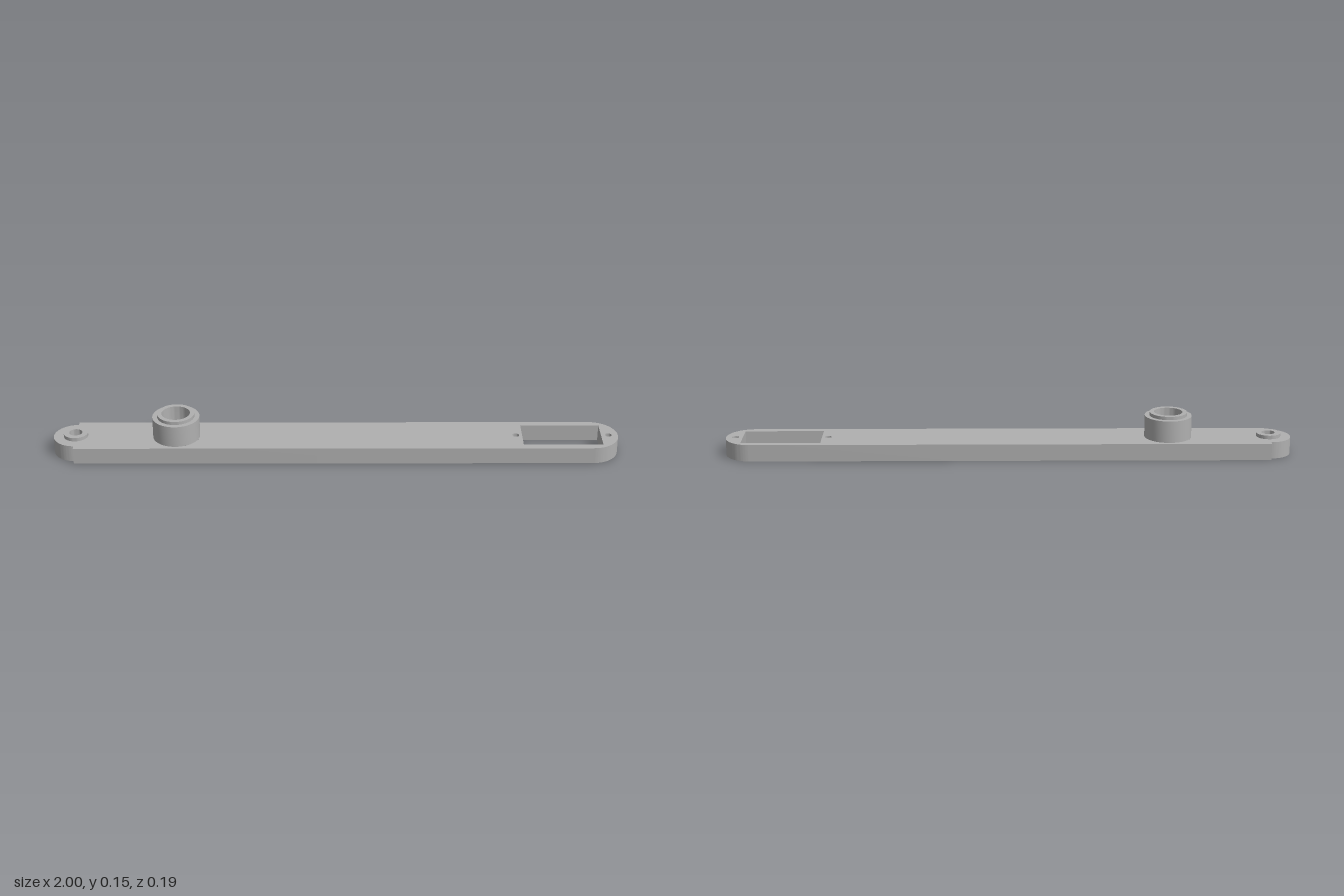
import * as THREE from 'three';
import { toCreasedNormals } from 'three/addons/utils/BufferGeometryUtils.js';

const T = 0.06;        // bar thickness
const HW = 0.096;      // bar half width
const PIVOT = -0.922;  // centre of the narrow rounded end
const BOSS = -0.565;   // centre of the tall bushing
const CREASE = 0.6;

// bar outline: narrow round end with shoulders, full-width round end
function outline() {
  const s = new THREE.Shape();
  s.moveTo(PIVOT, -HW);
  s.lineTo(1 - HW, -HW);
  s.absarc(1 - HW, 0, HW, -Math.PI / 2, Math.PI / 2, false);
  s.lineTo(PIVOT, HW);
  s.lineTo(PIVOT, 0.078);
  s.absarc(PIVOT, 0, 0.078, Math.PI / 2, Math.PI * 1.5, false);
  s.closePath();
  // rectangular window
  const w = new THREE.Path();
  w.moveTo(0.66, -0.07);
  w.lineTo(0.66, 0.07);
  w.lineTo(0.94, 0.07);
  w.lineTo(0.94, -0.07);
  w.closePath();
  s.holes.push(w);
  return s;
}

function punched(list) {
  const s = outline();
  for (const [x, r] of list) s.holes.push(new THREE.Path().absarc(x, 0, r, 0, Math.PI * 2, true));
  return s;
}

export function createModel() {
  const group = new THREE.Group();
  const grey = new THREE.MeshStandardMaterial({ color: 0xb0b0b0 });
  grey.name = 'grey metal';

  const add = (name, geometry, x = 0, y = 0) => {
    const m = new THREE.Mesh(geometry, grey);
    m.name = name;
    m.position.set(x, y, 0);
    group.add(m);
  };
  const turned = (name, x, points) => {
    const g = new THREE.LatheGeometry(points.map(p => new THREE.Vector2(...p)), 48);
    add(name, toCreasedNormals(g, CREASE), x);
  };

  const screws = [[0.638, 0.012], [0.966, 0.012]];
  const sockets = [[-0.085, 0.024], [0.33, 0.024]];

  // side walls of the bar and window, without the extrusion's caps
  const solid = new THREE.ExtrudeGeometry(outline(), { depth: T, bevelEnabled: false, curveSegments: 32 });
  const start = solid.groups[1].start;
  const walls = new THREE.BufferGeometry();
  walls.setAttribute('position',
    new THREE.BufferAttribute(solid.attributes.position.array.slice(start * 3), 3));
  walls.rotateX(-Math.PI / 2);
  add('barWalls', toCreasedNormals(walls, CREASE));

  // top and bottom faces
  const top = new THREE.ShapeGeometry(punched([[PIVOT, 0.043], [BOSS, 0.083], ...screws]), 32);
  add('barTop', top.rotateX(-Math.PI / 2), 0, T);
  const bottom = new THREE.ShapeGeometry(punched([[PIVOT, 0.023], [BOSS, 0.05], ...screws, ...sockets]), 32);
  add('barBottom', bottom.rotateX(Math.PI / 2));

  // raised bushings, each with its bore running through the bar
  turned('tallBushing', BOSS, [[0.083, T], [0.083, 0.138], [0.066, 0.138], [0.066, 0.15], [0.05, 0.15], [0.05, 0]]);
  turned('pivotCollar', PIVOT, [[0.043, T], [0.043, 0.073], [0.023, 0.073], [0.023, 0]]);

  // screw holes go through, sockets are blind from below
  for (const [x, r] of screws) turned('screwHole', x, [[r, T], [r, 0]]);
  for (const [x, r] of sockets) turned('blindSocket', x, [[0, 0.045], [r, 0.045], [r, 0]]);

  return group;
}
